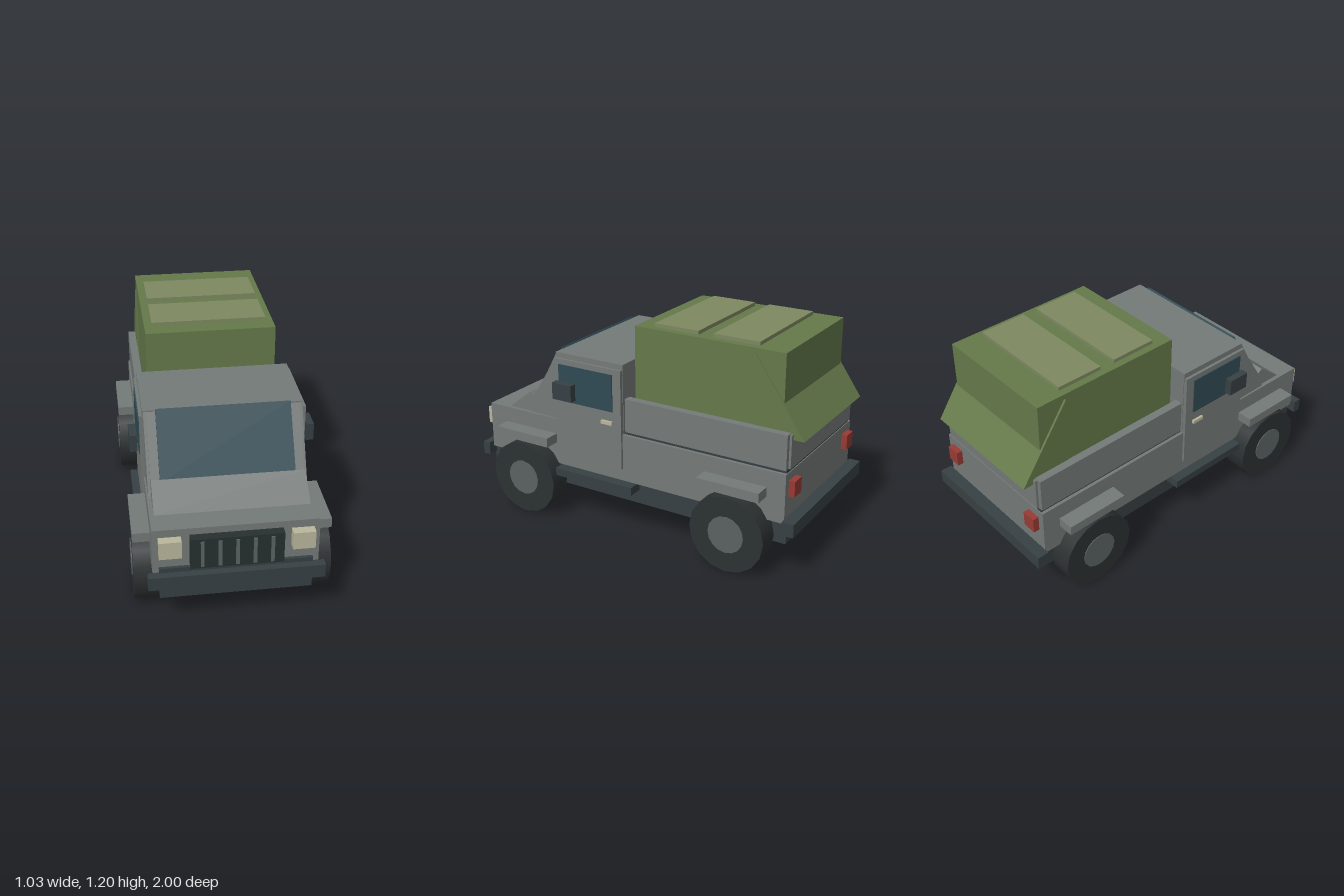
import * as THREE from 'three';

const mat = (color) => new THREE.MeshStandardMaterial({ color, flatShading: true });

export function createModel() {
  const truck = new THREE.Group();
  truck.name = 'truck';
  const body = mat(0x747a78), dark = mat(0x374043), grilleMat = mat(0x26302f), tyreMat = mat(0x2c3132);
  tyreMat.flatShading = false;
  const hubMat = mat(0x5a6261), glass = mat(0x304a53), lamp = mat(0xb9b79c), red = mat(0x983a34);
  const canvas = mat(0x65794a), patch = mat(0x7d8860);

  const add = (name, geometry, material) => {
    const mesh = new THREE.Mesh(geometry, material);
    mesh.name = name;
    truck.add(mesh);
    return mesh;
  };
  // box given by its limits on each axis
  const box = (name, material, x0, x1, y0, y1, z0, z1) => {
    const mesh = add(name, new THREE.BoxGeometry(Math.abs(x1 - x0), y1 - y0, z1 - z0), material);
    mesh.position.set((x0 + x1) / 2, (y0 + y1) / 2, (z0 + z1) / 2);
    return mesh;
  };
  // side profile of [z, y] points, extruded from x0 to x1
  const prism = (name, material, x0, x1, points) => {
    const shape = new THREE.Shape(points.map(([z, y]) => new THREE.Vector2(-z, y)));
    const geometry = new THREE.ExtrudeGeometry(shape, { depth: x1 - x0, bevelEnabled: false });
    geometry.rotateY(Math.PI / 2).translate(x0, 0, 0);
    return add(name, geometry, material);
  };

  // Chassis, lower body and bumpers
  box('chassis', dark, -0.385, 0.385, 0.18, 0.32, -0.935, 0.955);
  box('frontApron', dark, -0.387, 0.387, 0.18, 0.36, 0.93, 0.962);
  box('lowerBody', body, -0.418, 0.418, 0.31, 0.58, -0.935, 0.945);
  box('frontBumper', dark, -0.445, 0.445, 0.26, 0.335, 0.955, 1);
  box('rearBumper', dark, -0.445, 0.445, 0.26, 0.335, -1, -0.935);

  // Cab, sloped hood and windscreen
  box('cab', body, -0.41, 0.41, 0.57, 0.95, 0.025, 0.455);
  box('roof', body, -0.415, 0.415, 0.945, 0.975, 0.022, 0.458);
  prism('windscreenFrame', body, -0.395, 0.395, [[0.45, 0.575], [0.67, 0.585], [0.66, 0.645], [0.455, 0.972]]);
  prism('hood', body, -0.395, 0.395, [[0.6, 0.575], [0.815, 0.58], [0.67, 0.693], [0.64, 0.67]]);
  prism('windscreen', glass, -0.348, 0.348, [[0.45, 0.965], [0.645, 0.65], [0.662, 0.667], [0.463, 0.985]]);

  // Cargo bed with tailgate
  box('bedFloor', dark, -0.4, 0.4, 0.575, 0.6, -0.93, 0.025);
  box('tailgate', body, -0.385, 0.385, 0.6, 0.78, -0.942, -0.915);

  // Canvas cover with rear flap and roof patches
  box('canvasCover', canvas, -0.355, 0.355, 0.6, 1.18, -0.88, -0.018);
  prism('canvasFlap', canvas, -0.367, 0.367, [[-0.72, 0.75], [-0.72, 1.155], [-1, 0.75]]);
  for (const z of [-0.72, -0.375]) box('roofPatch', patch, -0.315, 0.315, 1.175, 1.2, z, z + 0.26);

  // Grille with upright bars
  box('grille', grilleMat, -0.233, 0.233, 0.37, 0.543, 0.94, 0.992);
  for (let i = -2; i <= 2; i++) box('grilleBar', hubMat, i * 0.087 - 0.009, i * 0.087 + 0.009, 0.382, 0.53, 0.985, 0.999);

  // Parts found on both sides
  for (const s of [1, -1]) {
    prism('windscreenPillar', body, s > 0 ? 0.392 : -0.41, s > 0 ? 0.41 : -0.392,
      [[0.45, 0.58], [0.67, 0.585], [0.455, 0.975]]);
    box('bedSide', body, s * 0.365, s * 0.41, 0.597, 0.785, -0.93, 0.015);
    box('door', body, s * 0.4, s * 0.431, 0.38, 0.945, 0.028, 0.46);
    box('doorWindow', glass, s * 0.42, s * 0.436, 0.705, 0.915, 0.08, 0.43);
    box('doorHandle', lamp, s * 0.43, s * 0.445, 0.63, 0.65, 0.08, 0.15);
    box('mirrorArm', dark, s * 0.425, s * 0.45, 0.748, 0.77, 0.365, 0.39);
    box('mirror', dark, s * 0.444, s * 0.484, 0.728, 0.823, 0.315, 0.44);
    box('sideStep', dark, s * 0.38, s * 0.468, 0.26, 0.305, -0.055, 0.45);
    box('headlight', lamp, s * 0.275, s * 0.388, 0.44, 0.537, 0.94, 0.993);
    box('tailLight', red, s * 0.3, s * 0.38, 0.45, 0.535, -0.968, -0.93);

    // Wheels with fenders
    for (const z of [0.652, -0.655]) {
      box('fender', body, s * 0.4, s * 0.508, 0.437, 0.49, z - 0.178, z + 0.178);
      const tyre = add('tyre', new THREE.CylinderGeometry(0.213, 0.213, 0.134, 16), tyreMat);
      tyre.rotation.z = Math.PI / 2;
      tyre.position.set(s * 0.442, 0.213, z);
      const hub = add('hub', new THREE.CylinderGeometry(0.102, 0.102, 0.14, 16), hubMat);
      hub.rotation.z = Math.PI / 2;
      hub.position.set(s * 0.443, 0.213, z);
    }
  }
  return truck;
}
